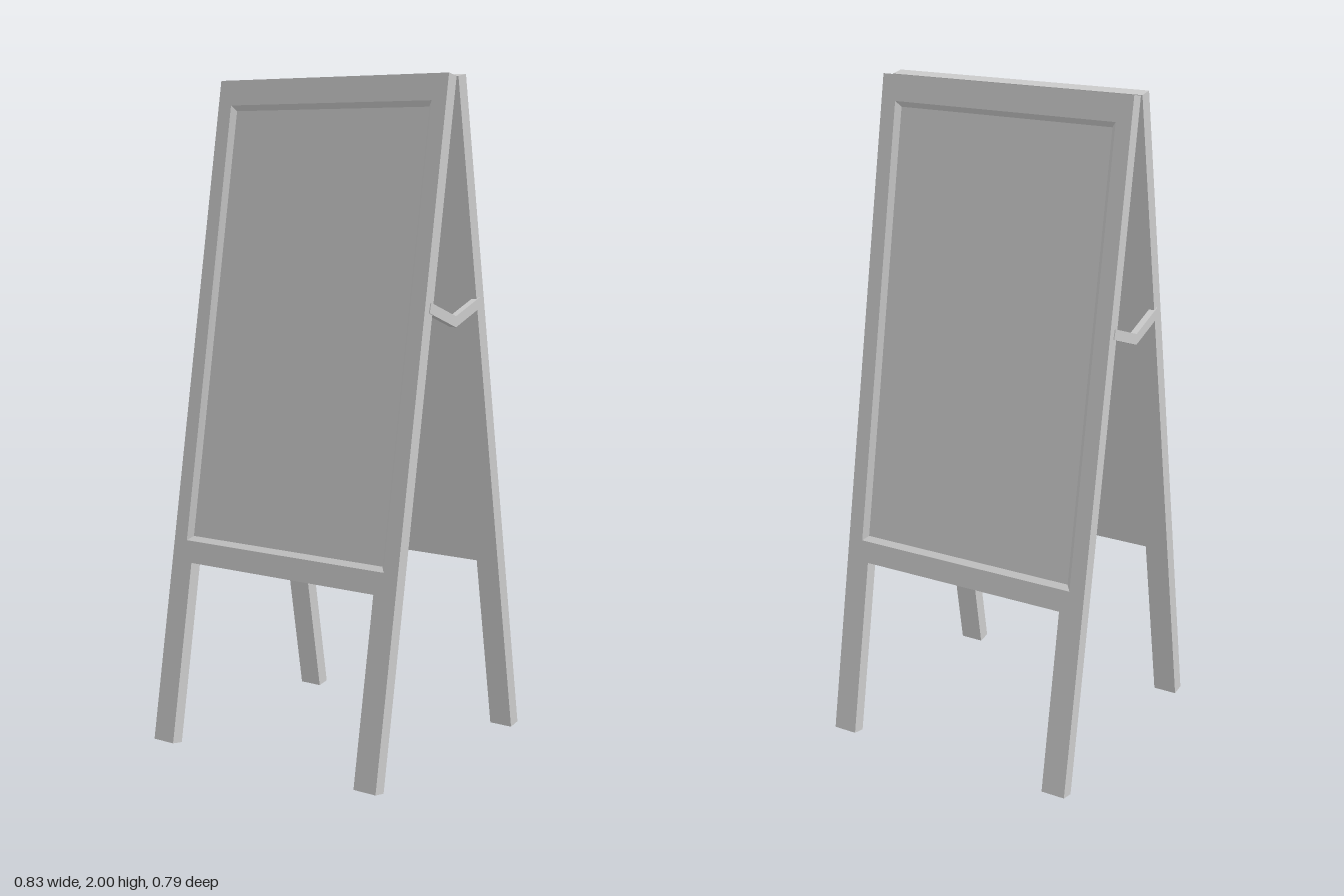
import * as THREE from 'three';

const W = 0.41;            // half width of a board
const T = 0.041;           // board thickness
const L = 2.0236;          // board length along its slope
const LEAN = THREE.MathUtils.degToRad(10);
const RAIL = 0.551;        // underside of the bottom rail
const LEG = 0.335;         // inner side of the legs
const HOLE = { x: 0.362, y0: 0.617, y1: 1.947 };
const BEVEL = 0.015, DEPTH = 0.0135;

const material = new THREE.MeshStandardMaterial({ color: 0xcccccc, flatShading: true });

function add(parent, geometry, name) {
  const mesh = new THREE.Mesh(geometry, material);
  mesh.name = name;
  parent.add(mesh);
  return mesh;
}

const points = (list) => list.map(([x, y]) => new THREE.Vector2(x, y));

// Counter-clockwise corners of the panel opening, inset by a margin
function opening(inset) {
  const x = HOLE.x - inset, a = HOLE.y0 + inset, b = HOLE.y1 - inset;
  return [[-x, a], [x, a], [x, b], [-x, b]];
}

// Frame with two legs and a window, in one piece
function frameGeometry() {
  const shape = new THREE.Shape(points([
    [-W, 0], [-LEG, 0], [-LEG, RAIL], [LEG, RAIL],
    [LEG, 0], [W, 0], [W, L], [-W, L],
  ]));
  shape.holes.push(new THREE.Path(points(opening(0).reverse())));
  return new THREE.ExtrudeGeometry(shape, { depth: T, bevelEnabled: false });
}

// Recessed panel: bevelled rim, sunken face and flush back
function panelGeometry() {
  const loops = [[0, T], [BEVEL, T - DEPTH], [0, 0]];
  const position = loops.flatMap(([inset, z]) => opening(inset).flatMap(([x, y]) => [x, y, z]));
  const index = [4, 5, 6, 4, 6, 7, 8, 10, 9, 8, 11, 10];
  for (let i = 0; i < 4; i++) {
    const j = (i + 1) % 4;
    index.push(i, j, 4 + j, i, 4 + j, 4 + i);
  }
  const geometry = new THREE.BufferGeometry();
  geometry.setAttribute('position', new THREE.Float32BufferAttribute(position, 3));
  geometry.setIndex(index);
  const flat = geometry.toNonIndexed();
  flat.computeVertexNormals();
  return flat;
}

// Shallow V-shaped spreader bar, extruded across x
function braceGeometry(width) {
  const shape = new THREE.Shape(points([
    [0, 1.285], [0.14, 1.335], [0.132, 1.364], [0, 1.317], [-0.132, 1.364], [-0.14, 1.335],
  ]));
  return new THREE.ExtrudeGeometry(shape, { depth: width, bevelEnabled: false })
    .translate(0, 0, -width / 2)
    .rotateY(Math.PI / 2);
}

export function createModel() {
  const model = new THREE.Group();
  model.name = 'sandwichBoard';

  // Two identical boards leaning together
  const frame = frameGeometry();
  const panel = panelGeometry();
  for (const [name, turn] of [['frontBoard', 0], ['backBoard', Math.PI]]) {
    const side = new THREE.Group();
    side.name = name;
    side.rotation.y = turn;
    const board = new THREE.Group();
    board.name = name + 'Lean';
    board.position.z = 0.356;
    board.rotation.x = -LEAN;
    add(board, frame, 'frame');
    add(board, panel, 'panel');
    side.add(board);
    model.add(side);
  }

  // Spreader bars on both sides
  const brace = braceGeometry(0.02);
  add(model, brace, 'leftBrace').position.x = 0.403;
  add(model, brace, 'rightBrace').position.x = -0.403;

  return model;
}
